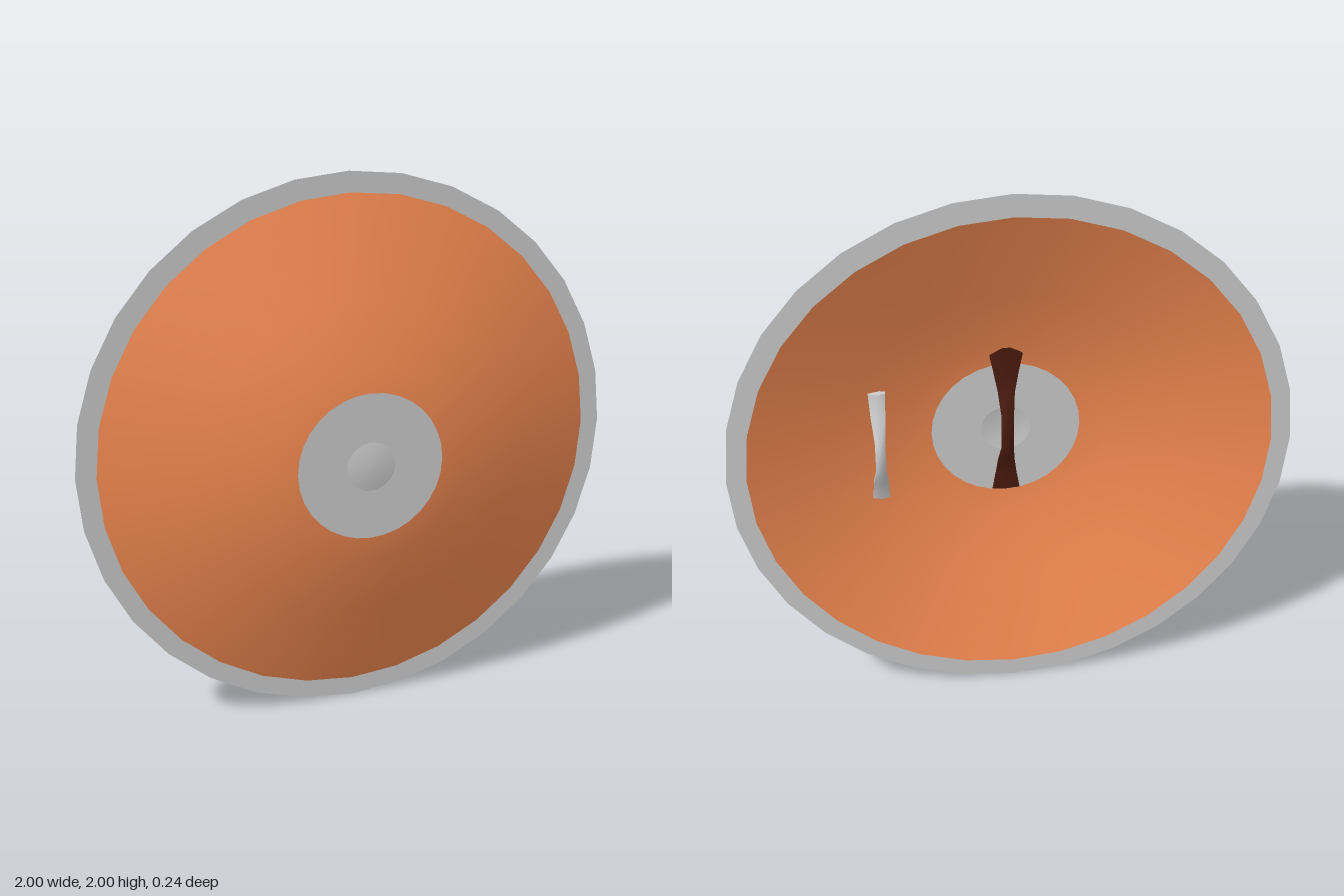
import * as THREE from 'three';

const SIDES = 32;
const grey = new THREE.MeshStandardMaterial({ color: 0xcccccc });
const greyOpen = new THREE.MeshStandardMaterial({ color: 0xcccccc, side: THREE.DoubleSide });
const orange = new THREE.MeshStandardMaterial({ color: 0xf08850 });
const brown = new THREE.MeshStandardMaterial({ color: 0x4a1a0e });

function add(group, name, geometry, material) {
  const mesh = new THREE.Mesh(geometry, material);
  mesh.name = name;
  group.add(mesh);
  return mesh;
}

// Revolves a [radius, z] profile about the z axis. Listed from the rim inward
// it faces forward; reversed, it faces backward.
function revolve(profile, back) {
  const pts = profile.map(([r, z]) => new THREE.Vector2(r, z));
  if (back) pts.reverse();
  return new THREE.LatheGeometry(pts, SIDES).rotateX(Math.PI / 2);
}

// Strap bent through rows of [y, z, halfWidth, thickness], top to bottom,
// with a ridge along its middle so the section is rounded.
function strap(rows) {
  const n = rows.length - 1;
  const geo = new THREE.BoxGeometry(2, 1, 1, 2, n, 1);
  const p = geo.attributes.position;
  for (let i = 0; i < p.count; i++) {
    const [y, z, w, t] = rows[Math.round((0.5 - p.getY(i)) * n)];
    const side = p.getX(i);
    const bulge = side === 0 ? 1 : 0.45;
    p.setXYZ(i, side * w, y, z + p.getZ(i) * t * bulge);
  }
  geo.computeVertexNormals();
  return geo;
}

export function createModel() {
  const model = new THREE.Group();
  model.name = 'roundShield';
  const body = new THREE.Group();
  body.name = 'shieldBody';
  body.position.y = 1;
  model.add(body);

  // Domed body: an outer and an inner shell
  const dome = [[0.93, -0.093], [0.59, 0.032], [0.37, 0.096], [0.27, 0.111]];
  const inner = dome.map(([r, z]) => [r, z - 0.024]);
  add(body, 'frontShell', revolve(dome), orange);
  add(body, 'backShell', revolve(inner, true), orange);

  // Centre plate with a shallow domed boss, on both faces
  const plate = [[0.27, 0.111], [0.09, 0.111]];
  const boss = [[0.09, 0.111], [0.06, 0.116], [0.03, 0.119], [0, 0.12]];
  const shift = (pts) => pts.map(([r, z]) => [r, z - 0.024]);
  add(body, 'frontPlate', revolve(plate), grey);
  add(body, 'frontBoss', revolve(boss), grey);
  add(body, 'backPlate', revolve(shift(plate), true), grey);
  add(body, 'backBoss', revolve(shift(boss), true), grey);

  // Flat rim rings, front and back
  for (const [name, z, turn] of [['frontRim', -0.093, 0], ['backRim', -0.117, Math.PI]]) {
    const ring = add(body, name, new THREE.RingGeometry(0.93, 1, SIDES), greyOpen);
    ring.position.z = z;
    ring.rotation.y = turn;
  }

  // Central hand grip, flared at both ends
  add(body, 'handGrip', strap([
    [0.34, 0.085, 0.065, 0.02], [0.24, 0.082, 0.045, 0.02], [0.16, 0.075, 0.03, 0.025],
    [0.08, 0.042, 0.022, 0.03], [-0.06, 0.042, 0.022, 0.03], [-0.13, 0.075, 0.03, 0.025],
    [-0.19, 0.082, 0.038, 0.02], [-0.26, 0.085, 0.05, 0.02],
  ]), brown);

  // Forearm strap to the side of the grip
  const arm = add(body, 'armStrap', strap([
    [0.23, 0.02, 0.03, 0.03], [0.15, 0.002, 0.026, 0.03], [0.07, -0.05, 0.018, 0.035],
    [-0.05, -0.05, 0.018, 0.035], [-0.13, 0.002, 0.026, 0.03], [-0.21, 0.02, 0.03, 0.03],
  ]), grey);
  arm.position.x = 0.463;

  return model;
}
